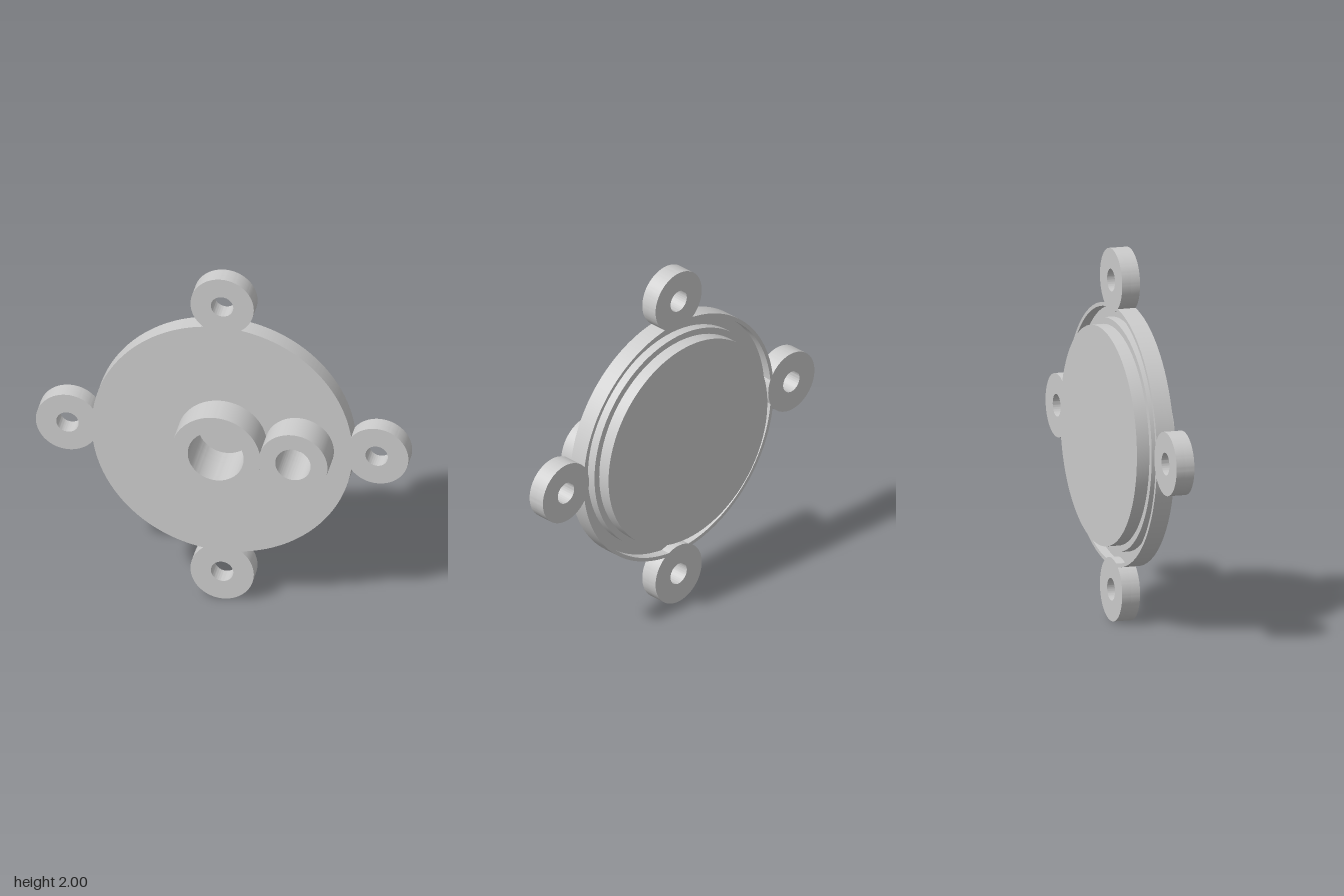
import * as THREE from 'three';
import { toCreasedNormals } from 'three/addons/utils/BufferGeometryUtils.js';

const EAR = { dist: 0.83, r: 0.17, hole: 0.06 };
const BIG = { x: 0, r: 0.24, hole: 0.15 };
const SMALL = { x: 0.415, r: 0.185, hole: 0.095 };
const material = new THREE.MeshStandardMaterial({ color: 0xcccccc });

function circle(x, y, r, Type = THREE.Path) {
  const p = new Type();
  p.absarc(x, y, r, 0, Math.PI * 2, false);
  return p;
}

// Circle of radius R joined with four ear arcs, bulging outwards or notching inwards
function earedCircle(R, inward, Type) {
  const a = Math.acos((R * R + EAR.dist ** 2 - EAR.r ** 2) / (2 * R * EAR.dist));
  const phi = Math.atan2(R * Math.sin(a), R * Math.cos(a) - EAR.dist);
  const p = new Type();
  for (let k = 0; k < 4; k++) {
    const t = k * Math.PI / 2;
    p.absarc(EAR.dist * Math.cos(t), EAR.dist * Math.sin(t), EAR.r, t - phi, t + phi, inward);
    p.absarc(0, 0, R, t + a, t + Math.PI / 2 - a, false);
  }
  return p;
}

// Extrude a shape between two z planes
function slab(name, shape, z0, z1) {
  const geo = new THREE.ExtrudeGeometry(shape, { depth: z1 - z0, bevelEnabled: false, curveSegments: 48 });
  geo.translate(0, 0, z0);
  const mesh = new THREE.Mesh(toCreasedNormals(geo, 0.5), material);
  mesh.name = name;
  return mesh;
}

const earHoles = () => [0, 1, 2, 3].map(k => {
  const t = k * Math.PI / 2;
  return circle(EAR.dist * Math.cos(t), EAR.dist * Math.sin(t), EAR.hole);
});
const socketHoles = () => [BIG, SMALL].map(b => circle(b.x, 0, b.hole));

export function createModel() {
  const group = new THREE.Group();
  group.name = 'flangeCover';

  // Front half of the plate, with mounting ears
  const plate = earedCircle(0.7, false, THREE.Shape);
  plate.holes.push(...earHoles(), ...socketHoles());
  group.add(slab('plate', plate, -0.05, 0));

  // Back half: outer rim and inner core, leaving a ring groove between them
  const rim = earedCircle(0.7, false, THREE.Shape);
  rim.holes.push(earedCircle(0.68, true, THREE.Path), ...earHoles());
  group.add(slab('grooveRim', rim, -0.1, -0.05));

  const core = circle(0, 0, 0.62, THREE.Shape);
  core.holes.push(...socketHoles());
  group.add(slab('grooveCore', core, -0.1, -0.05));

  // Raised disc on the back, which also closes the sockets
  group.add(slab('backDisc', circle(0, 0, 0.585, THREE.Shape), -0.17, -0.1));

  // Two merged round sockets on the front
  const ix = (SMALL.x ** 2 + BIG.r ** 2 - SMALL.r ** 2) / (2 * SMALL.x);
  const iy = Math.sqrt(BIG.r ** 2 - ix * ix);
  const a = Math.atan2(iy, ix);
  const b = Math.atan2(iy, ix - SMALL.x);
  const sockets = new THREE.Shape();
  sockets.absarc(BIG.x, 0, BIG.r, a, Math.PI * 2 - a, false);
  sockets.absarc(SMALL.x, 0, SMALL.r, -b, b, false);
  sockets.holes.push(...socketHoles());
  group.add(slab('sockets', sockets, 0, 0.17));

  group.children.forEach(m => { m.position.y = 1; });
  return group;
}
